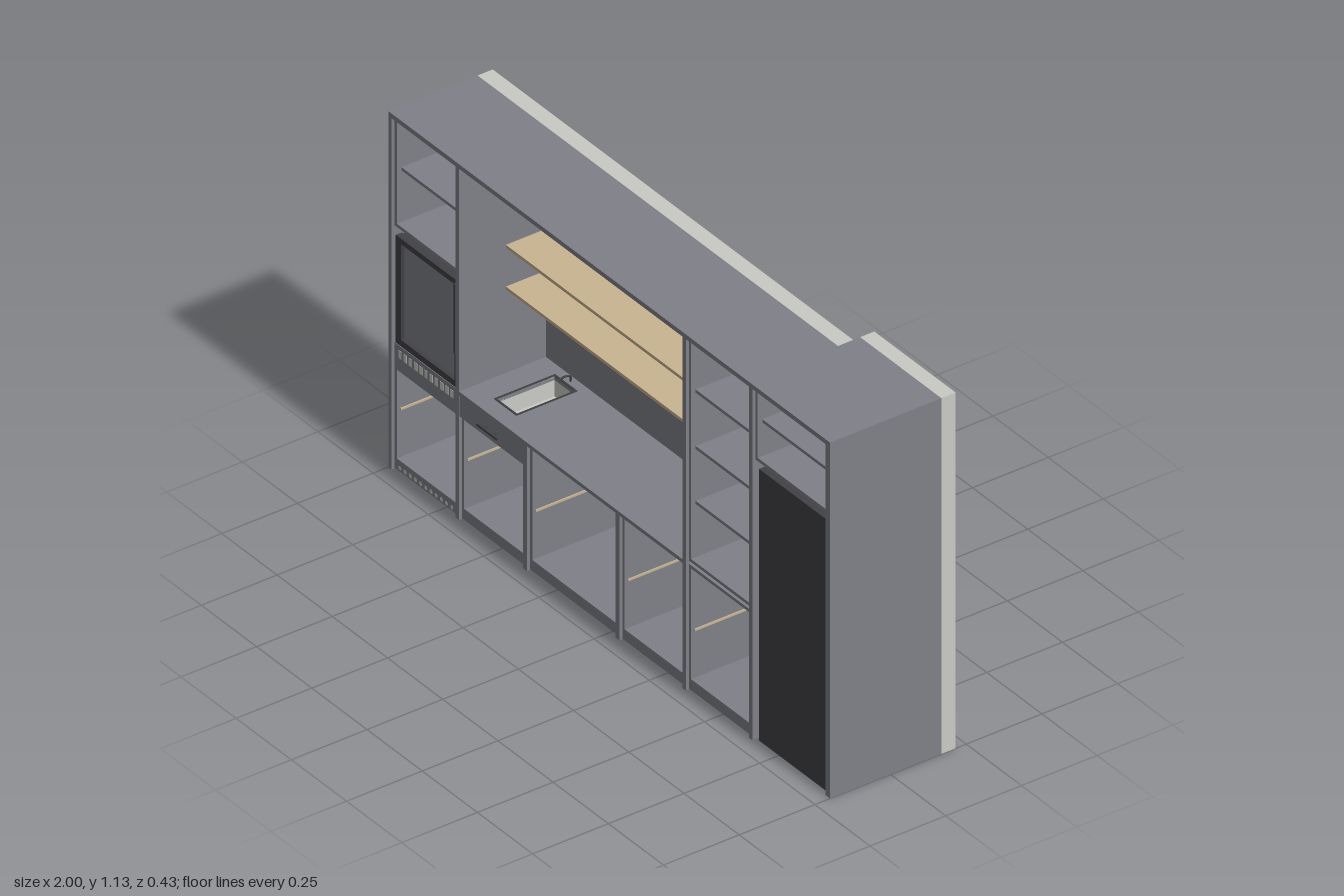
import * as THREE from 'three';

const mat = (name, color) => {
  const m = new THREE.MeshStandardMaterial({ color });
  m.name = name;
  return m;
};

export function createModel() {
  const group = new THREE.Group();
  group.name = 'kitchenWallUnit';
  const grey = mat('cabinetGrey', 0x808188);
  const light = mat('wallLightGrey', 0xcacac5);
  const dark = mat('applianceDark', 0x414146);
  const wood = mat('paleWood', 0xc9b491);

  // box given by its min and max along each axis
  const box = (name, m, x0, x1, y0, y1, z0, z1, parent = group) => {
    const mesh = new THREE.Mesh(new THREE.BoxGeometry(x1 - x0, y1 - y0, z1 - z0), m);
    mesh.position.set((x0 + x1) / 2, (y0 + y1) / 2, (z0 + z1) / 2);
    mesh.name = name;
    parent.add(mesh);
    return mesh;
  };

  const H = 1.135, F = 0.2, B = -0.095, BT = -0.168;
  const rim = 0.19; // front of the carcasses, just behind the face frame

  // wall slabs behind the units
  box('mainWall', light, -1, 0.632, 0, H, -0.145, B);
  box('tallWall', light, 0.632, 1, 0, H, -0.215, BT);

  // outer sides, top and full height partitions
  box('leftSide', grey, -1, -0.985, 0, H, B, F);
  box('rightSide', grey, 0.98, 1, 0, H, BT, F);
  box('topPanel', grey, -0.985, 0.98, 1.12, H, B, F);
  box('tallTopPanel', grey, 0.632, 0.98, 1.12, H, BT, B);
  box('partition', grey, -0.695, -0.68, 0, H, B, F);
  box('partition', grey, 0.332, 0.347, 0, H, B, F);
  box('partition', grey, 0.634, 0.649, 0, H, -0.143, F);
  box('lowerPartition', grey, -0.39, -0.372, 0, 0.41, B, F);
  box('lowerPartition', grey, 0.028, 0.046, 0, 0.41, B, F);

  // open carcass: four thin walls and a back, with optional shelves
  const carcass = (name, x0, x1, y0, y1, shelves = [], back = B) => {
    const g = new THREE.Group();
    g.name = name;
    group.add(g);
    const t = 0.01;
    box('sidePanel', grey, x0, x0 + t, y0, y1, back, rim, g);
    box('sidePanel', grey, x1 - t, x1, y0, y1, back, rim, g);
    box('floorPanel', grey, x0, x1, y0, y0 + t, back, rim, g);
    box('ceilingPanel', grey, x0, x1, y1 - t, y1, back, rim, g);
    box('backPanel', grey, x0, x1, y0, y1, back, back + 0.008, g);
    for (const y of shelves) box('shelf', grey, x0 + t, x1 - t, y - 0.005, y + 0.005, back, 0.175, g);
    return g;
  };

  // lower units with plinth, runners and wooden base frames
  const lower = [
    [-0.985, -0.695, 0.33], [-0.68, -0.39, 0.33], [-0.372, 0.028, 0.4],
    [0.046, 0.332, 0.4], [0.347, 0.634, 0.4],
  ];
  for (const [x0, x1, top] of lower) {
    const g = carcass('lowerUnit', x0, x1, 0.027, top);
    box('plinth', grey, x0, x1, 0.002, 0.027, 0.172, rim, g);
    for (const x of [x0 + 0.01, x1 - 0.014]) {
      box('runner', wood, x, x + 0.004, 0.188, 0.194, -0.05, 0.18, g);
      const a = x < (x0 + x1) / 2 ? x0 + 0.005 : x1 - 0.02;
      box('baseBatten', wood, a, a + 0.015, 0.008, 0.027, -0.07, 0.15, g);
    }
    for (const z of [-0.07, 0.135]) box('baseBatten', wood, x0 + 0.02, x1 - 0.02, 0.008, 0.027, z, z + 0.015, g);
  }

  // upper open units
  carcass('upperLeftUnit', -0.985, -0.695, 0.775, 1.12, [0.955]);
  carcass('openShelfUnit', 0.347, 0.634, 0.41, 1.12, [0.595, 0.77, 0.95]);
  carcass('upperRightUnit', 0.649, 0.98, 0.892, 1.12, [1.015], BT);
  box('upperRightSide', grey, 0.634, 0.649, 0.892, 1.12, BT, -0.143);

  // splashback and thin wooden shelves
  box('splashback', grey, -0.68, 0.332, 0.41, 1.12, B, B + 0.008);
  for (const y of [0.68, 0.813]) {
    box('woodShelf', wood, -0.68, 0.332, y - 0.005, y + 0.005, B + 0.008, 0.045);
  }

  // worktop with a cut-out for the sink
  const rect = (P, x0, x1, y0, y1) => {
    const p = new P();
    p.moveTo(x0, y0);
    p.lineTo(x1, y0);
    p.lineTo(x1, y1);
    p.lineTo(x0, y1);
    p.closePath();
    return p;
  };
  const topShape = rect(THREE.Shape, -0.68, 0.347, -F, -B);
  topShape.holes.push(rect(THREE.Path, -0.59, -0.5, -0.14, 0.05));
  const worktop = new THREE.Mesh(new THREE.ExtrudeGeometry(topShape, { depth: 0.012, bevelEnabled: false }), grey);
  worktop.rotation.x = -Math.PI / 2;
  worktop.position.y = 0.398;
  worktop.name = 'worktop';
  group.add(worktop);

  // sink basin, rim and tap
  box('sinkFloor', light, -0.59, -0.5, 0.342, 0.346, -0.05, 0.14);
  for (const x of [-0.593, -0.5]) box('sinkWall', light, x, x + 0.003, 0.342, 0.409, -0.05, 0.14);
  for (const z of [-0.053, 0.14]) box('sinkWall', light, -0.593, -0.497, 0.342, 0.409, z, z + 0.003);
  for (const x of [-0.596, -0.5]) box('sinkRim', dark, x, x + 0.006, 0.41, 0.412, -0.056, 0.146);
  for (const z of [-0.056, 0.14]) box('sinkRim', dark, -0.59, -0.5, 0.41, 0.412, z, z + 0.006);
  const tapPath = new THREE.CatmullRomCurve3([
    [-0.545, 0.41, -0.07], [-0.545, 0.425, -0.07], [-0.545, 0.432, -0.055], [-0.545, 0.428, -0.03],
  ].map((p) => new THREE.Vector3(...p)));
  const tap = new THREE.Mesh(new THREE.TubeGeometry(tapPath, 12, 0.003, 8), dark);
  tap.name = 'tap';
  group.add(tap);

  // drawer front below the sink, with a bar handle
  box('sinkFront', grey, -0.68, -0.39, 0.33, 0.398, 0.175, F - 0.002);
  box('handleBar', dark, -0.58, -0.49, 0.36, 0.366, 0.209, 0.215);
  for (const x of [-0.558, -0.515]) box('handlePost', dark, x, x + 0.005, 0.361, 0.365, 0.197, 0.21);

  // oven: dark surround, grey door panel and side grip
  const frame = rect(THREE.Shape, -0.983, -0.697, 0.402, 0.745);
  frame.holes.push(rect(THREE.Path, -0.96, -0.717, 0.422, 0.728));
  const surround = new THREE.Mesh(new THREE.ExtrudeGeometry(frame, { depth: 0.02, bevelEnabled: false }), dark);
  surround.position.z = 0.168;
  surround.name = 'ovenSurround';
  group.add(surround);
  box('ovenBody', dark, -0.98, -0.7, 0.404, 0.743, B + 0.02, 0.168);
  box('ovenDoorPanel', grey, -0.96, -0.717, 0.422, 0.728, 0.168, 0.176);
  box('ovenGrip', dark, -0.712, -0.704, 0.515, 0.735, 0.188, 0.195);
  box('ovenShelf', grey, -0.985, -0.695, 0.33, 0.402, B, rim);

  // ventilation slots under the oven and in the plinth
  for (let i = 0; i < 11; i++) {
    const x = -0.96 + i * 0.0235;
    box('ventSlot', light, x - 0.007, x + 0.007, 0.363, 0.387, rim, rim + 0.001);
    const hole = new THREE.Mesh(new THREE.CircleGeometry(0.007, 12), light);
    hole.position.set(x, 0.014, rim + 0.001);
    hole.name = 'ventHole';
    group.add(hole);
  }

  // tall refrigerator standing in its niche
  box('refrigerator', dark, 0.662, 0.971, 0.002, 0.868, BT + 0.004, 0.188);
  return group;
}
